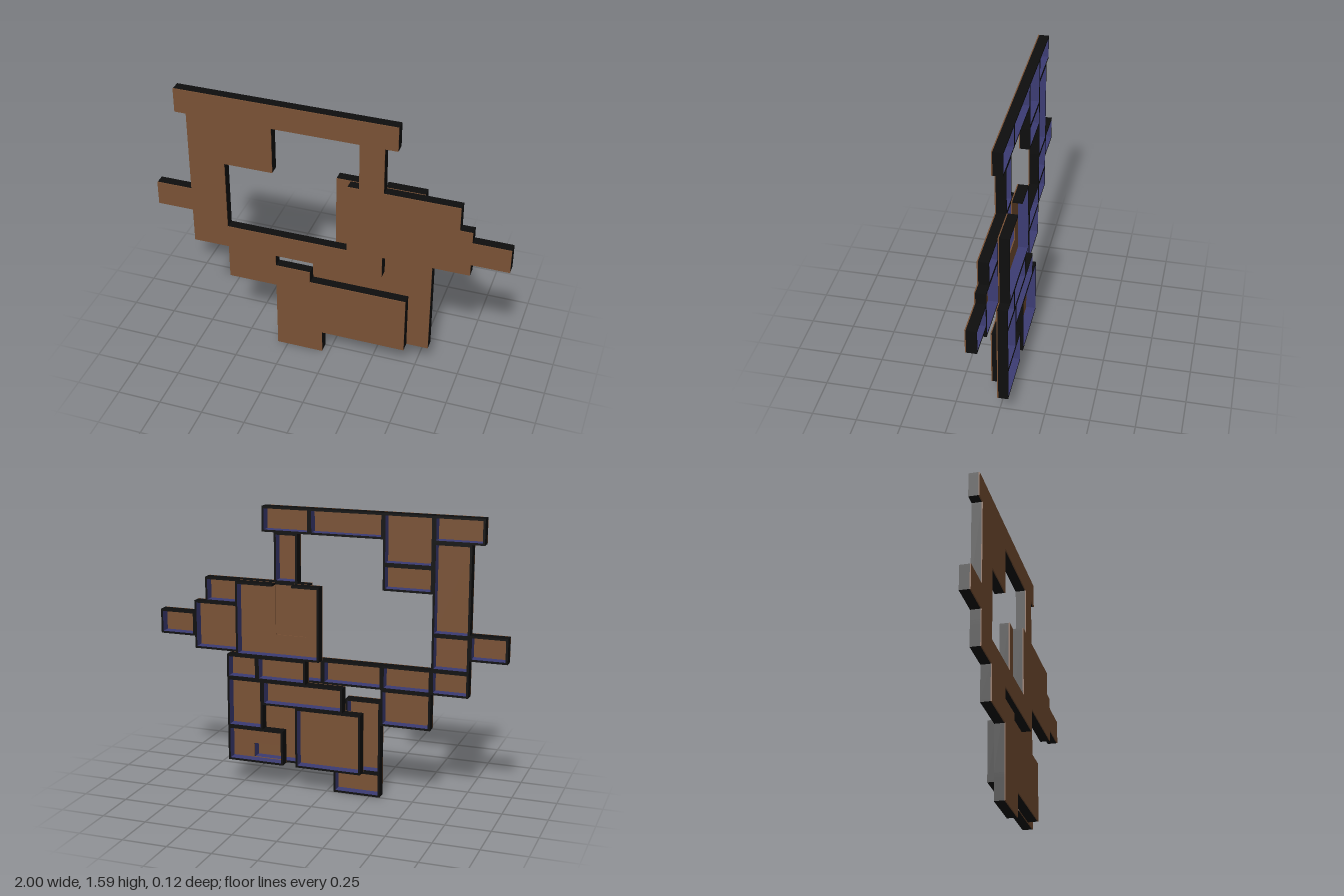
import * as THREE from 'three';

const DEPTH = 0.06;   // height of each storey along z
const WALL = 0.012;   // wall thickness
const SLAB = 0.006;   // floor thickness

export function createModel() {
  const group = new THREE.Group();
  group.name = 'floorPlan';
  const mat = (name, color) => new THREE.MeshStandardMaterial({ name, color });
  const wood = mat('woodFloor', 0x7a5235);
  const outer = mat('blackOuterWall', 0x0e0e0e);
  const inner = mat('blueInnerWall', 0x3c3c74);

  function block(parent, name, x0, x1, y0, y1, z0, z1, material) {
    const mesh = new THREE.Mesh(new THREE.BoxGeometry(x1 - x0, y1 - y0, z1 - z0), material);
    mesh.position.set((x0 + x1) / 2, (y0 + y1) / 2, (z0 + z1) / 2);
    mesh.name = name;
    parent.add(mesh);
  }

  // Box face order: +x, -x, +y, -y, +z, -z. One face of each wall is blue.
  const wallMaterials = (face) => [0, 1, 2, 3, 4, 5].map((i) => (i === face ? inner : outer));

  // A tray: slab at the front, walls running back, open at the back.
  // floors: rectangles when the slab has a stairwell; gap: opening in the top wall.
  function room(name, zFront, [x0, x1, y0, y1], floors, gap) {
    const r = new THREE.Group();
    r.name = name;
    const zs = zFront - SLAB, zb = zFront - DEPTH;
    for (const [a, b, c, d] of floors || [[x0, x1, y0, y1]]) block(r, 'floor', a, b, c, d, zs, zFront, wood);
    block(r, 'bottomWall', x0, x1, y0, y0 + WALL, zb, zs, wallMaterials(2));
    const spans = gap ? [[x0, gap[0]], [gap[1], x1]] : [[x0, x1]];
    for (const [a, b] of spans) block(r, 'topWall', a, b, y1 - WALL, y1, zb, zs, wallMaterials(3));
    block(r, 'sideWall', x0, x0 + WALL, y0 + WALL, y1 - WALL, zb, zs, wallMaterials(0));
    block(r, 'sideWall', x1 - WALL, x1, y0 + WALL, y1 - WALL, zb, zs, wallMaterials(1));
    group.add(r);
  }

  // Front storey: x0, x1, y0, y1 of each room
  const frontRooms = [
    // top row
    [0.10, 0.375, 1.45, 1.59], [-0.315, 0.10, 1.45, 1.59],
    [-0.59, -0.315, 1.315, 1.59], [-0.59, -0.315, 1.175, 1.315],
    [-0.86, -0.59, 1.45, 1.59],
    // long side passage and its end annex
    [-0.795, -0.59, 0.955, 1.45], [-0.795, -0.59, 0.76, 0.955],
    [-1, -0.795, 0.83, 0.97],
    // middle row
    [-0.795, -0.59, 0.625, 0.76], [-0.59, -0.315, 0.625, 0.76],
    [-0.315, 0.025, 0.625, 0.76], [0.025, 0.305, 0.625, 0.76],
    // right-hand rooms
    [0.17, 0.305, 1.175, 1.45], [0.105, 0.51, 0.76, 1.175],
    [0.51, 0.72, 1.035, 1.175], [0.51, 0.79, 0.76, 1.035],
    [0.79, 1, 0.83, 0.97],
    // lower rooms
    [-0.59, -0.31, 0.42, 0.625], [-0.31, -0.11, 0.14, 0.555],
    [-0.11, 0.445, 0.14, 0.485], [-0.31, -0.04, 0, 0.14],
  ];
  for (const r of frontRooms) room('frontRoom', DEPTH, r);

  // Back storey
  const backRooms = [
    [-0.215, 0.165, 0.14, 0.485], [-0.11, 0.36, 0.485, 0.625],
    [0.36, 0.57, 0.34, 0.625],
    [0.105, 0.39, 0.625, 0.76], [0.39, 0.57, 0.625, 0.76],
  ];
  for (const r of backRooms) room('backRoom', 0, r);

  // Large back room with an L-shaped stairwell leading to a gap in its top wall
  room('stairHall', 0, [0.025, 0.513, 0.76, 1.175], [
    [0.025, 0.118, 0.76, 1.175], [0.118, 0.296, 0.76, 0.882],
    [0.118, 0.188, 1.02, 1.175], [0.296, 0.513, 0.76, 1.175],
  ], [0.182, 0.296]);

  // Lower back room with a small stairwell
  room('lowerStairRoom', 0, [0.24, 0.57, 0.14, 0.34], [
    [0.24, 0.435, 0.235, 0.34], [0.24, 0.435, 0.14, 0.154], [0.435, 0.57, 0.14, 0.34],
  ]);

  return group;
}
